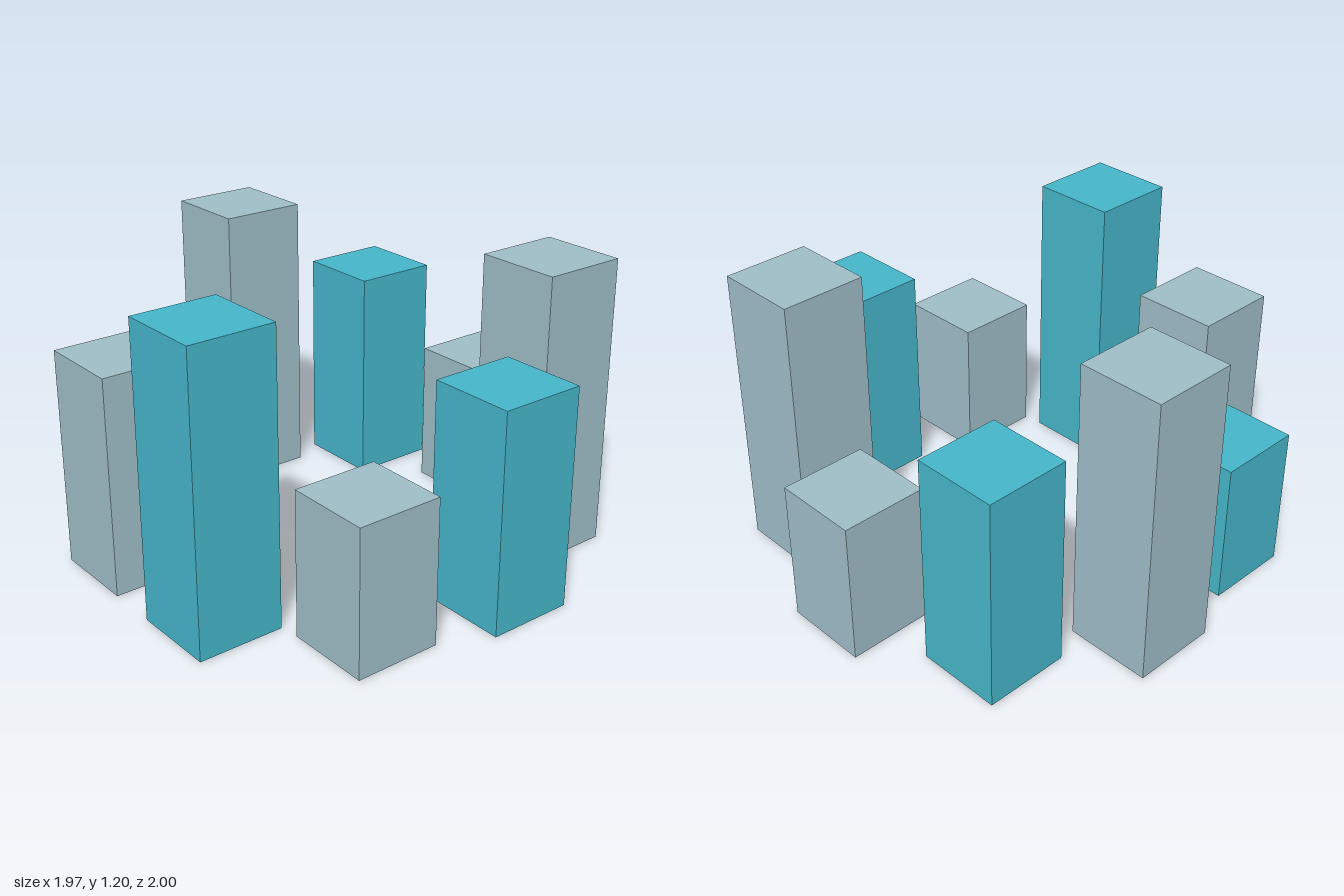
import * as THREE from 'three';

export function createModel() {
  const model = new THREE.Group();
  model.name = 'pillarRing';

  const grey = new THREE.MeshStandardMaterial({ color: 0x9fbec8 });
  grey.name = 'blue grey';
  const teal = new THREE.MeshStandardMaterial({ color: 0x46b6ca });
  teal.name = 'teal';

  const count = 9, radius = 0.8327, width = 0.357, shiftX = -0.025;
  const heights = [0.598, 1.196, 0.897]; // short, tall, medium, repeating

  // Square pillars on a circle, all aligned with the axes
  for (let i = 0; i < count; i++) {
    const angle = (i / count) * Math.PI * 2;
    const height = heights[i % heights.length];
    const isTeal = i > 0 && i % 2 === 0;
    const pillar = new THREE.Mesh(
      new THREE.BoxGeometry(width, height, width),
      isTeal ? teal : grey
    );
    pillar.name = `pillar${i + 1}`;
    pillar.position.set(
      Math.cos(angle) * radius + shiftX,
      height / 2,
      Math.sin(angle) * radius
    );
    model.add(pillar);
  }
  return model;
}
